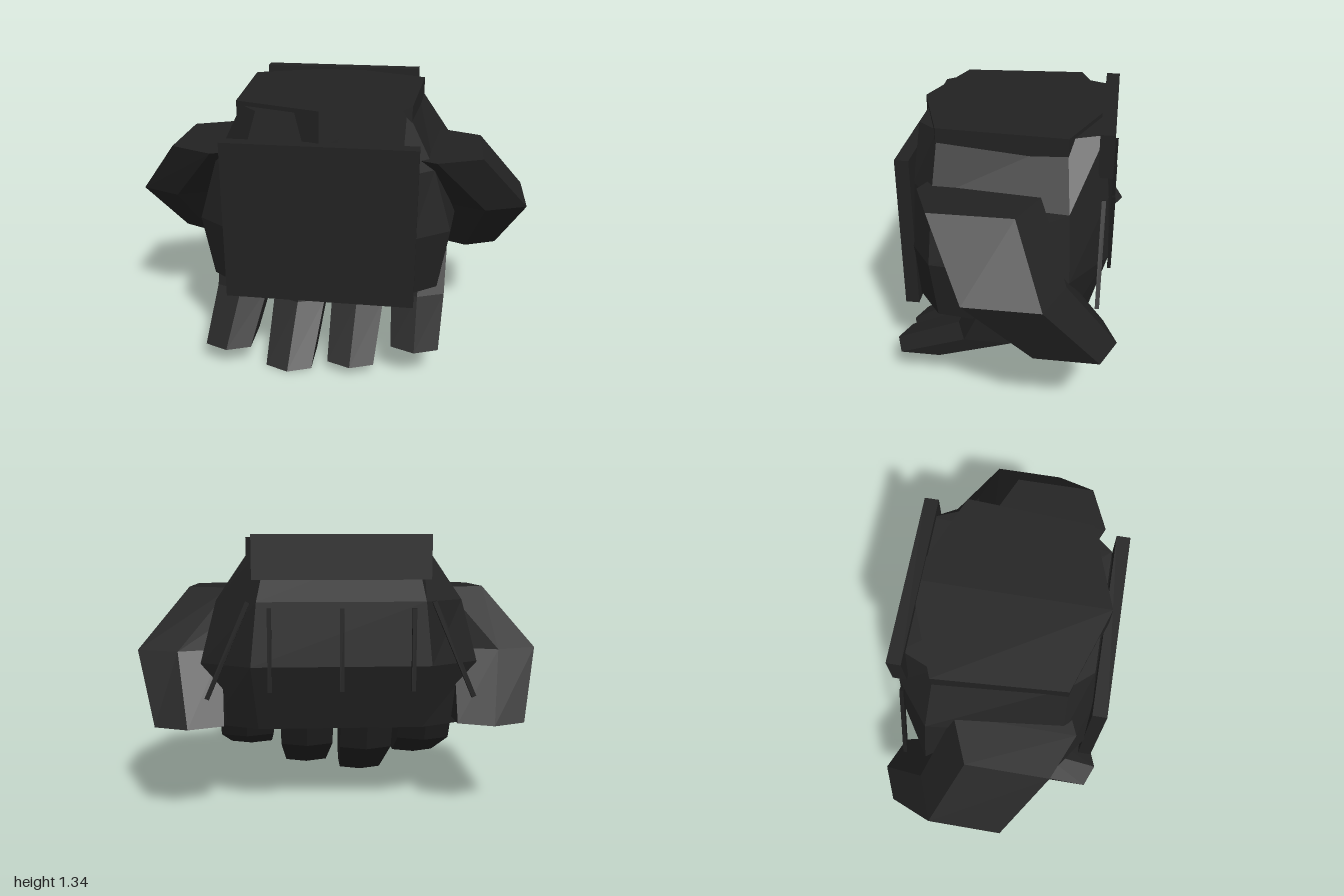
import * as THREE from 'three';

// Closed loft through horizontal rings (top to bottom); each ring is { y, pts: [[x, z], ...] }
function loft(rings) {
  const pos = [];
  const put = (r, i) => pos.push(r.pts[i][0], r.y, r.pts[i][1]);
  const n = rings[0].pts.length;
  for (let k = 0; k < rings.length - 1; k++) {
    const up = rings[k], lo = rings[k + 1];
    for (let i = 0; i < n; i++) {
      const j = (i + 1) % n;
      put(lo, i); put(lo, j); put(up, j);
      put(lo, i); put(up, j); put(up, i);
    }
  }
  const top = rings[0], bottom = rings[rings.length - 1];
  for (let i = 1; i < n - 1; i++) {
    put(top, 0); put(top, i); put(top, i + 1);
    put(bottom, 0); put(bottom, i + 1); put(bottom, i);
  }
  const g = new THREE.BufferGeometry();
  g.setAttribute('position', new THREE.Float32BufferAttribute(pos, 3));
  g.computeVertexNormals();
  return g;
}

// Hexagonal digit section, pointed towards front and back
function hexRing(y, cx, cz, hx, hz) {
  const k = 0.68 * hz;
  return { y, pts: [[cx, cz + hz], [cx + hx, cz + k], [cx + hx, cz - k],
    [cx, cz - hz], [cx - hx, cz - k], [cx - hx, cz + k]] };
}

// Eight-sided hand section: front edge, front corner, back corner, back edge, mirrored
function handRing(y, half) {
  const [f, fc, bc, b] = half;
  const m = ([x, z]) => [-x, z];
  return { y, pts: [f, fc, bc, b, m(b), m(bc), m(fc), m(f)] };
}

export function createModel() {
  const model = new THREE.Group();
  const leather = new THREE.MeshStandardMaterial({ color: 0x222222 });
  leather.name = 'charcoal leather';
  const seam = new THREE.MeshStandardMaterial({ color: 0x1c1c1c });
  seam.name = 'dark seam';

  const add = (name, geometry, material, x = 0, y = 0, z = 0) => {
    const mesh = new THREE.Mesh(geometry, material);
    mesh.name = name;
    mesh.position.set(x, y, z);
    model.add(mesh);
    return mesh;
  };

  // Hand body, swelling to the knuckles
  add('hand', loft([
    handRing(1.31, [[0.3, 0.42], [0.39, 0.315], [0.41, -0.285], [0.34, -0.45]]),
    handRing(1.03, [[0.38, 0.445], [0.53, 0.325], [0.6, -0.315], [0.4, -0.48]]),
    handRing(0.725, [[0.44, 0.46], [0.62, 0.333], [0.68, -0.33], [0.43, -0.495]]),
    handRing(0.41, [[0.4, 0.44], [0.57, 0.313], [0.635, -0.29], [0.4, -0.41]]),
  ]), leather);

  // Cuff around the wrist opening
  const cuff = [[0, 0.46], [0.415, 0.32], [0.455, -0.293], [0, -0.475],
    [-0.455, -0.293], [-0.415, 0.32]];
  add('cuff', loft([{ y: 1.33, pts: cuff }, { y: 1.16, pts: cuff }]), leather);

  // Flat pad on the front and strap at the back of the wrist
  add('frontPad', new THREE.BoxGeometry(0.92, 0.793, 0.068), leather, 0, 0.783, 0.474);
  add('wristStrap', new THREE.BoxGeometry(0.84, 0.21, 0.068), leather, 0, 1.238, -0.46);

  // Four bent fingers: centre x, knuckle height, tip height
  const fingers = [[-0.465, 0.265, 0.1], [-0.155, 0.217, 0],
    [0.16, 0.24, 0.05], [0.475, 0.297, 0.165]];
  for (const [x, knuckle, tip] of fingers) {
    add('finger', loft([
      hexRing(0.5, x, -0.04, 0.14, 0.185),
      hexRing(knuckle, x, 0.065, 0.137, 0.17),
      hexRing(tip, x, 0.415, 0.116, 0.145),
    ]), leather);
  }

  for (const side of [-1, 1]) {
    // Thumb on each side, sweeping outwards and back
    add(side > 0 ? 'leftThumb' : 'rightThumb', loft([
      hexRing(1.083, side * 0.54, 0.1, 0.215, 0.287),
      hexRing(0.78, side * 0.79, -0.07, 0.207, 0.255),
      hexRing(0.445, side * 0.72, -0.342, 0.162, 0.22),
    ]), leather);

    // Slanted outer seam
    const outer = add('outerSeam', new THREE.BoxGeometry(0.022, 0.5, 0.02), seam,
      side * 0.54, 0.8, -0.46);
    outer.rotation.z = side * 0.41;
  }

  // Straight seams on the back
  for (const x of [-0.34, 0, 0.34]) {
    add('backSeam', new THREE.BoxGeometry(0.02, 0.393, 0.018), seam, x, 0.805, -0.503);
  }
  return model;
}
